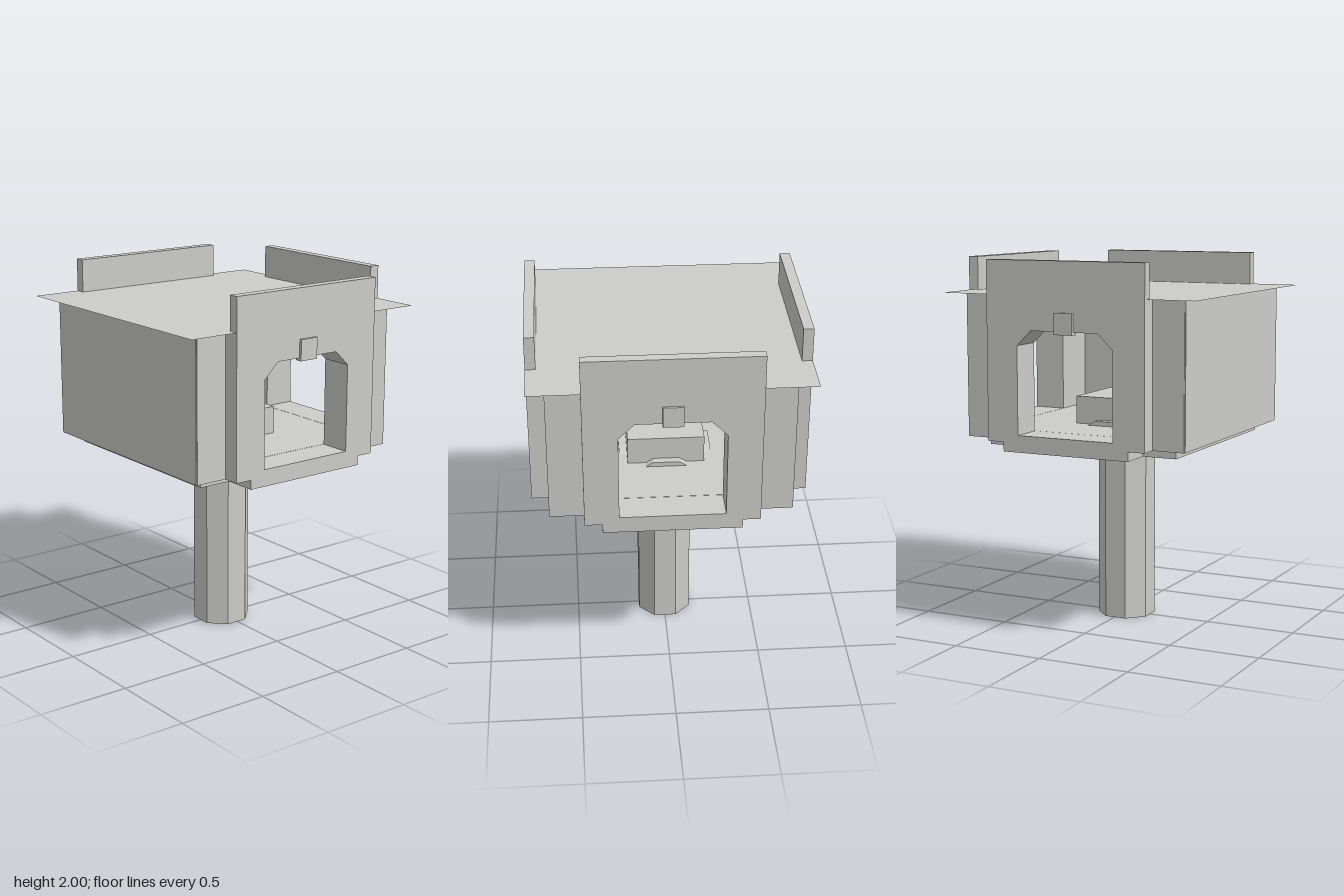
import * as THREE from 'three';

export function createModel() {
  const model = new THREE.Group();
  const tower = new THREE.Group();
  tower.name = 'tower';
  tower.position.z = 0.005;
  model.add(tower);

  const stone = new THREE.MeshStandardMaterial({ color: 0xccccca, side: THREE.DoubleSide });
  stone.name = 'paleStone';
  stone.flatShading = true;

  const add = (parent, name, geometry, x = 0, y = 0, z = 0) => {
    const mesh = new THREE.Mesh(geometry, stone);
    mesh.name = name;
    mesh.position.set(x, y, z);
    parent.add(mesh);
    return mesh;
  };
  // box given by its min and max corners
  const block = (parent, name, [x0, y0, z0], [x1, y1, z1]) =>
    add(parent, name, new THREE.BoxGeometry(x1 - x0, y1 - y0, z1 - z0),
      (x0 + x1) / 2, (y0 + y1) / 2, (z0 + z1) / 2);
  const polygon = (points, Type = THREE.Shape) => new Type(points.map(p => new THREE.Vector2(...p)));

  // chamfered window opening
  const opening = () => polygon([
    [-0.275, 1.09], [0.275, 1.09], [0.275, 1.56], [0.193, 1.64], [-0.193, 1.64], [-0.275, 1.56],
  ], THREE.Path);
  const layer = (parent, name, points, from, to) => {
    const shape = polygon(points);
    shape.holes.push(opening());
    add(parent, name, new THREE.ExtrudeGeometry(shape, { depth: to - from, bevelEnabled: false }), 0, 0, from);
  };
  const rect = (w, y0, y1) => [[-w, y0], [w, y0], [w, y1], [-w, y1]];

  // a window wall, built facing +z and turned into place
  const windowWall = (name, angle) => {
    const wall = new THREE.Group();
    wall.name = name;
    wall.rotation.y = angle;
    layer(wall, 'innerWall', rect(0.63, 1.05, 1.82), 0.55, 0.635);
    layer(wall, 'wallFill', rect(0.455, 1.05, 1.82), 0.635, 0.672);
    layer(wall, 'parapetWall', rect(0.455, 1.05, 2), 0.672, 0.727);
    block(wall, 'sillTab', [-0.362, 1, 0.54], [0.362, 1.05, 0.727]);
    block(wall, 'keystone', [-0.053, 1.625, 0.7], [0.053, 1.737, 0.74]);
    tower.add(wall);
  };
  windowWall('leftWall', Math.PI / 2);
  windowWall('rightWall', -Math.PI / 2);
  windowWall('backWall', Math.PI);

  // closed front wall
  block(tower, 'frontWall', [-0.63, 1.05, 0.55], [0.63, 1.82, 0.635]);

  // floor with a square hatch around the pole
  const floor = polygon([[-0.548, -0.548], [0.548, -0.548], [0.548, 0.548], [-0.548, 0.548]]);
  const square = h => [[-h, -h], [-h, h], [h, h], [h, -h]];
  floor.holes.push(polygon(square(0.18), THREE.Path));
  const floorGeometry = new THREE.ExtrudeGeometry(floor, { depth: 0.09, bevelEnabled: false });
  floorGeometry.rotateX(-Math.PI / 2);
  add(tower, 'floor', floorGeometry, 0, 1, 0);

  // thin flat roof
  const roof = new THREE.PlaneGeometry(1.454, 1.452);
  roof.rotateX(-Math.PI / 2);
  add(tower, 'roof', roof, 0, 1.82, 0);

  // octagonal pole
  const pole = new THREE.CylinderGeometry(0.157, 0.157, 1.15, 8);
  pole.rotateY(Math.PI / 8);
  add(tower, 'pole', pole, 0, 0.575, 0);

  // hollow hatch housing: rim and lid
  const rim = polygon(square(0.207));
  rim.holes.push(polygon(square(0.18), THREE.Path));
  const rimGeometry = new THREE.ExtrudeGeometry(rim, { depth: 0.13, bevelEnabled: false });
  rimGeometry.rotateX(-Math.PI / 2);
  add(tower, 'hatchRim', rimGeometry, 0, 1.09, 0);
  block(tower, 'hatchLid', [-0.207, 1.22, -0.207], [0.207, 1.24, 0.207]);

  // low bevelled feet on each side of the housing
  for (let i = 0; i < 4; i++) {
    const side = new THREE.Group();
    side.name = 'hatchFoot';
    side.rotation.y = i * Math.PI / 2;
    const foot = new THREE.ExtrudeGeometry(
      polygon([[-0.11, 1.09], [0.11, 1.09], [0.07, 1.115], [-0.07, 1.115]]),
      { depth: 0.05, bevelEnabled: false });
    add(side, 'footWedge', foot, 0, 0, 0.2);
    tower.add(side);
  }

  // upright with a small tapered collar
  block(tower, 'upright', [-0.018, 1.24, -0.018], [0.018, 1.51, 0.018]);
  add(tower, 'collar', new THREE.CylinderGeometry(0.043, 0.032, 0.06, 6), 0, 1.3, 0);

  return model;
}
